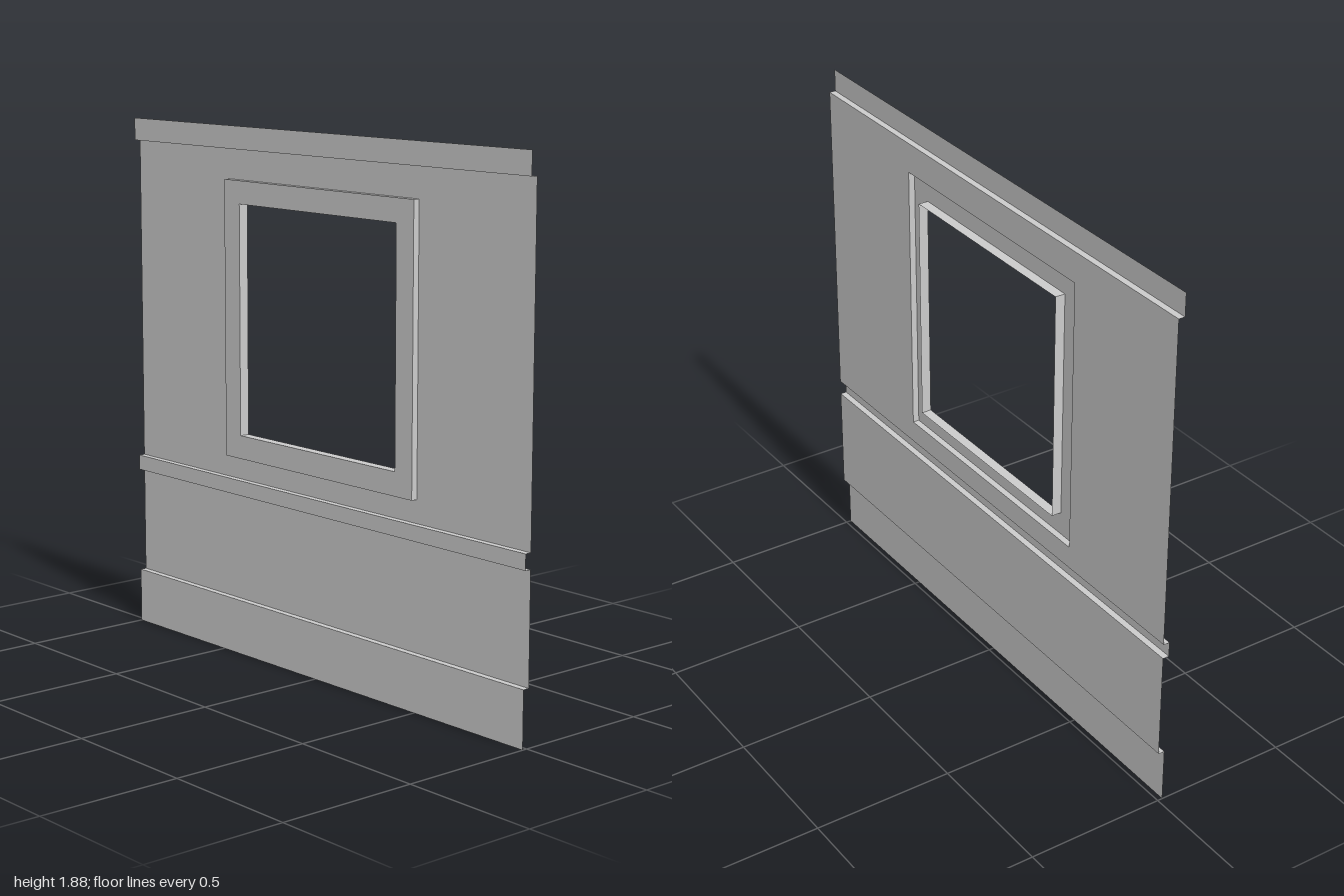
import * as THREE from 'three';

const FRONT = 0.018, PANEL = -0.005, BACK = -0.018;
const HALF = 1;

const material = new THREE.MeshStandardMaterial({
  color: 0xcccccc, side: THREE.DoubleSide, flatShading: true,
});

function add(parent, name, geometry) {
  const mesh = new THREE.Mesh(geometry, material);
  mesh.name = name;
  parent.add(mesh);
  return mesh;
}

// Upright sheet facing +z between two heights
function strip(parent, name, y0, y1, z) {
  add(parent, name, new THREE.PlaneGeometry(2 * HALF, y1 - y0)).position.set(0, (y0 + y1) / 2, z);
}

// Level sheet joining the panel to a raised strip; dir is +1 facing up, -1 facing down
function ledge(parent, name, y, dir) {
  const mesh = add(parent, name, new THREE.PlaneGeometry(2 * HALF, FRONT - PANEL));
  mesh.rotation.x = -dir * Math.PI / 2;
  mesh.position.set(0, y, (FRONT + PANEL) / 2);
}

// Flat sheet with a rectangular opening; rectangles are { x, y0, y1 }
function sheetWithHole(outer, hole, z) {
  const corners = ({ x, y0, y1 }) =>
    [[-x, y0], [x, y0], [x, y1], [-x, y1]].map(([a, b]) => new THREE.Vector2(a, b));
  const shape = new THREE.Shape(corners(outer));
  shape.holes.push(new THREE.Path(corners(hole).reverse()));
  return new THREE.ShapeGeometry(shape).translate(0, 0, z);
}

// Four thin walls round a rectangle; dir is +1 facing outward, -1 facing inward
function rectWalls(parent, name, { x, y0, y1 }, zFront, zBack, dir) {
  const depth = zFront - zBack, zMid = (zFront + zBack) / 2, yMid = (y0 + y1) / 2;
  for (const s of [-1, 1]) {
    const side = add(parent, name + (s > 0 ? 'Left' : 'Right'), new THREE.PlaneGeometry(depth, y1 - y0));
    side.rotation.y = s * dir * Math.PI / 2;
    side.position.set(s * x, yMid, zMid);
    const level = add(parent, name + (s > 0 ? 'Top' : 'Bottom'), new THREE.PlaneGeometry(2 * x, depth));
    level.rotation.x = -s * dir * Math.PI / 2;
    level.position.set(0, s > 0 ? y1 : y0, zMid);
  }
}

export function createModel() {
  const model = new THREE.Group();
  model.name = 'windowWall';

  const opening = { x: 0.4, y0: 0.797, y1: 1.612 };
  const casing = { x: 0.482, y0: 0.714, y1: 1.693 };
  const base = 0.197, railLow = 0.58, railHigh = 0.634, cornice = 1.8, top = 1.88;

  // Raised skirting, rail and cornice with the lower panel between
  strip(model, 'skirting', 0, base, FRONT);
  ledge(model, 'skirtingLedge', base, 1);
  strip(model, 'lowerPanel', base, railLow, PANEL);
  ledge(model, 'railUnderside', railLow, -1);
  strip(model, 'rail', railLow, railHigh, FRONT);
  ledge(model, 'railLedge', railHigh, 1);
  ledge(model, 'corniceUnderside', cornice, -1);
  strip(model, 'cornice', cornice, top, FRONT);

  // Upper panel, open behind the window casing
  add(model, 'upperPanel', sheetWithHole({ x: HALF, y0: railHigh, y1: cornice }, casing, PANEL));

  // Window casing standing forward, with jambs running through to the back
  const windowFrame = new THREE.Group();
  windowFrame.name = 'windowFrame';
  add(windowFrame, 'casingFace', sheetWithHole(casing, opening, FRONT));
  rectWalls(windowFrame, 'casingEdge', casing, FRONT, PANEL, 1);
  rectWalls(windowFrame, 'jamb', opening, FRONT, BACK, -1);
  model.add(windowFrame);

  return model;
}
